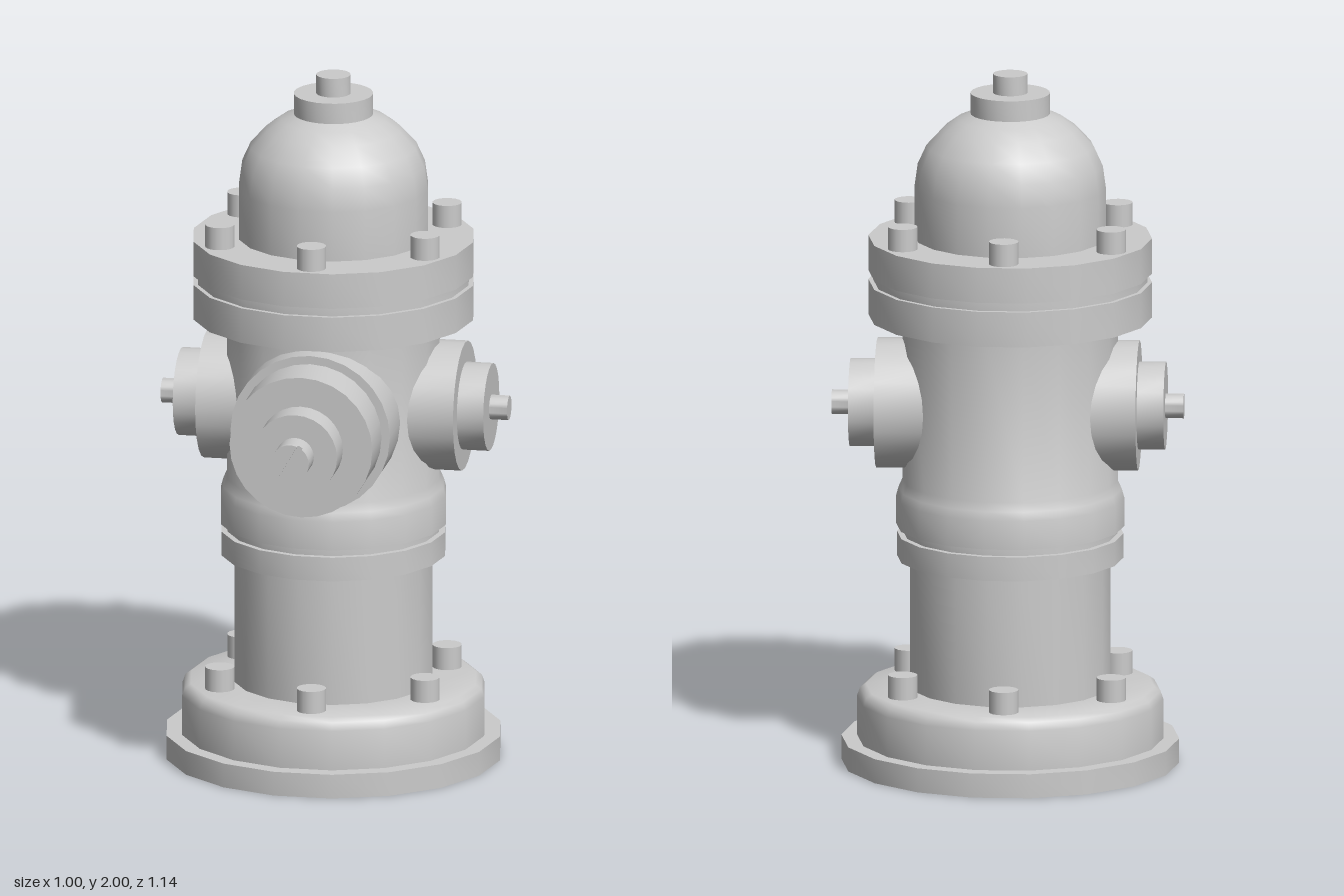
import * as THREE from 'three';
import { toCreasedNormals } from 'three/addons/utils/BufferGeometryUtils.js';

const material = new THREE.MeshStandardMaterial({ color: 0xcccccc, side: THREE.DoubleSide });
const AXIS_X = -0.006, AXIS_Z = -0.1, OUTLET_Y = 1.04;

function addMesh(parent, name, geometry) {
  const mesh = new THREE.Mesh(geometry, material);
  mesh.name = name;
  parent.add(mesh);
  return mesh;
}

// Turned part from [radius, height] pairs, smooth around and sharp at its steps
function turned(profile, sides, start = 0) {
  const points = profile.map(([r, y]) => new THREE.Vector2(r, y));
  return toCreasedNormals(new THREE.LatheGeometry(points, sides, start), 0.7);
}

export function createModel() {
  const model = new THREE.Group();
  model.name = 'fireHydrant';
  const body = new THREE.Group();
  body.name = 'body';
  body.position.set(AXIS_X, 0, AXIS_Z);
  model.add(body);

  // Hollow 18-sided shell, open underneath
  const sections = {
    base: [[0.48, 0], [0.48, 0.07], [0.435, 0.07], [0.435, 0.185], [0.427, 0.208], [0.41, 0.22], [0.285, 0.22]],
    lowerBarrel: [[0.285, 0.22], [0.285, 0.595]],
    collar: [[0.285, 0.595], [0.322, 0.595], [0.322, 0.665], [0.305, 0.665], [0.305, 0.687], [0.324, 0.687]],
    upperBarrel: [[0.324, 0.687], [0.324, 0.77], [0.317, 0.795], [0.306, 0.82], [0.306, 1.295]],
    topFlange: [[0.306, 1.295], [0.403, 1.295], [0.403, 1.397], [0.39, 1.397], [0.39, 1.423], [0.403, 1.423],
      [0.403, 1.525], [0.272, 1.525]],
    dome: [[0.272, 1.525], [0.272, 1.67], [0.263, 1.735], [0.238, 1.79], [0.192, 1.84], [0.15, 1.87], [0.1, 1.89]],
  };
  for (const [name, profile] of Object.entries(sections)) {
    addMesh(body, name, turned(profile, 18, Math.PI / 18));
  }

  // Cap and operating nut on the dome
  addMesh(body, 'topNut', turned(
    [[0, 1.885], [0.113, 1.885], [0.113, 1.945], [0.049, 1.945], [0.049, 2], [0, 2]], 24));

  // Two rings of six bolts
  for (const [name, y] of [['baseBolt', 0.22], ['flangeBolt', 1.525]]) {
    for (let i = 0; i < 6; i++) {
      const angle = i * Math.PI / 3;
      const bolt = addMesh(body, name, new THREE.CylinderGeometry(0.042, 0.042, 0.075, 16));
      bolt.position.set(0.342 * Math.sin(angle), y + 0.0275, 0.342 * Math.cos(angle));
    }
  }

  // Side outlets, mirrored
  for (const side of [1, -1]) {
    const outlet = addMesh(model, side > 0 ? 'leftOutlet' : 'rightOutlet', turned(
      [[0.185, 0.2], [0.185, 0.372], [0.125, 0.372], [0.125, 0.448], [0.035, 0.448], [0.035, 0.5], [0, 0.5]], 24));
    outlet.rotation.z = -side * Math.PI / 2;
    outlet.position.set(0, OUTLET_Y, AXIS_Z - 0.007);
  }

  // Large front outlet
  const front = new THREE.Group();
  front.name = 'frontOutlet';
  front.position.set(AXIS_X, OUTLET_Y, 0);
  model.add(front);
  addMesh(front, 'frontNozzle', turned(
    [[0.23, 0.07], [0.23, 0.26], [0.206, 0.26], [0.206, 0.403], [0.121, 0.403], [0.121, 0.493],
      [0.054, 0.493], [0.054, 0.555], [0, 0.555]], 28).rotateX(Math.PI / 2));

  // Two end lands leave a diagonal slot across the stem
  const gap = Math.asin(0.008 / 0.054);
  for (let i = 0; i < 2; i++) {
    const shape = new THREE.Shape().absarc(0, 0, 0.054, gap, Math.PI - gap, false);
    const land = addMesh(front, 'slottedStemEnd', toCreasedNormals(
      new THREE.ExtrudeGeometry(shape, { depth: 0.016, bevelEnabled: false, curveSegments: 14 }), 0.7));
    land.position.z = 0.555;
    land.rotation.z = Math.PI / 3 + i * Math.PI;
  }
  return model;
}
